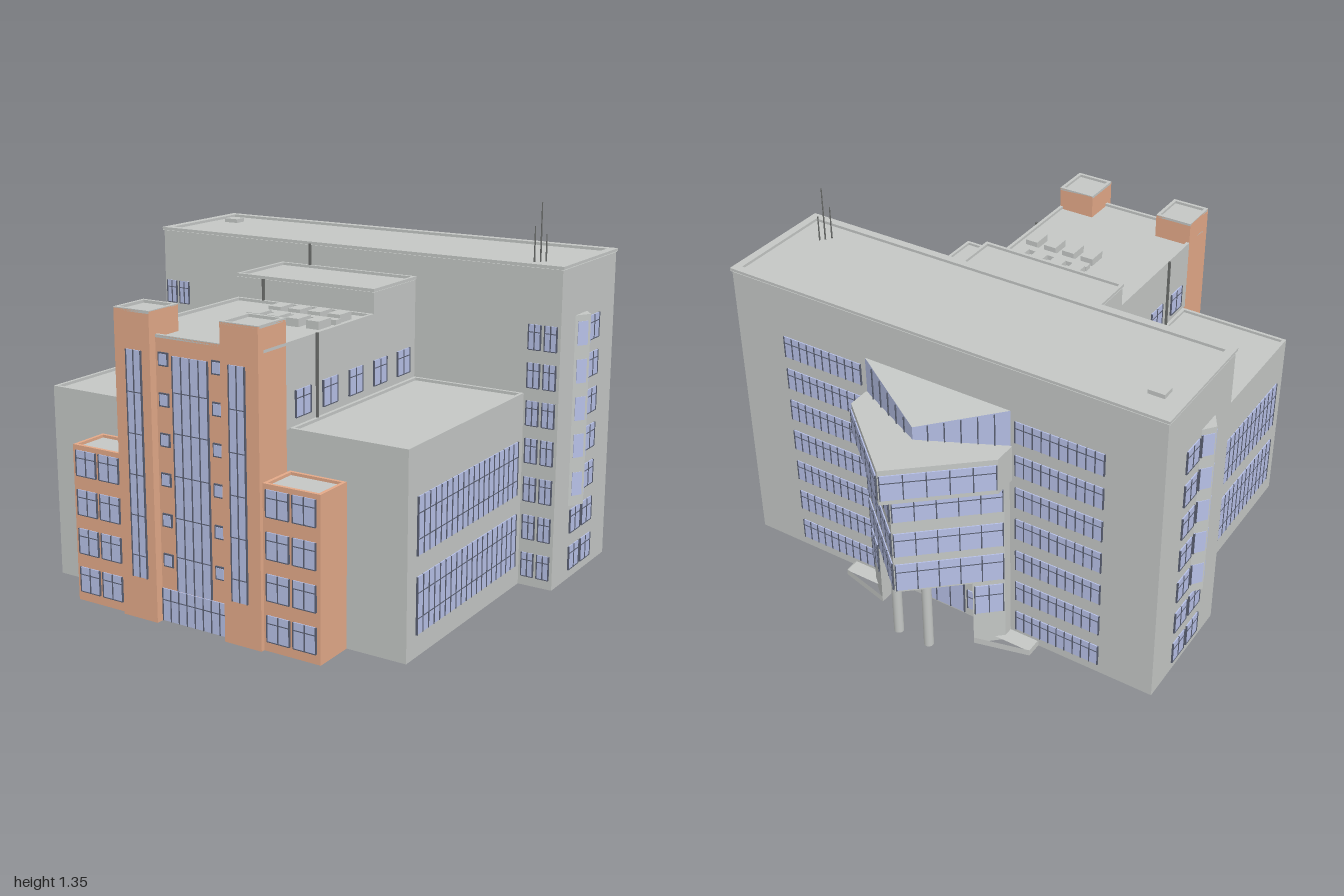
import * as THREE from 'three';
import { mergeGeometries } from 'three/addons/utils/BufferGeometryUtils.js';

const material = (name, color) => {
  const m = new THREE.MeshStandardMaterial({ color, side: THREE.DoubleSide });
  m.name = name;
  return m;
};

export function createModel() {
  const concrete = material('concrete', 0xc4c7c5);
  const brick = material('brick', 0xe3a988);
  const glass = material('glass', 0xbcc6ee);
  const frame = material('frame', 0x5a6072);
  const trim = material('trim', 0x6a6c6a);

  // Parts sharing a name and a colour are merged into one mesh
  const batches = new Map();
  const put = (name, mat, geo) => {
    const g = geo.index ? geo.toNonIndexed() : geo;
    g.deleteAttribute('uv');
    const key = name + mat.name;
    if (!batches.has(key)) batches.set(key, { name, mat, list: [] });
    batches.get(key).list.push(g);
  };
  const box = (name, mat, x0, x1, y0, y1, z0, z1) => put(name, mat,
    new THREE.BoxGeometry(Math.abs(x1 - x0), y1 - y0, Math.abs(z1 - z0))
      .translate((x0 + x1) / 2, (y0 + y1) / 2, (z0 + z1) / 2));

  // Open wall following a plan path; the top may vary per point
  const wall = (name, mat, pts, y0, y1) => {
    const pos = [];
    const top = i => (Array.isArray(y1) ? y1[i] : y1);
    for (let i = 0; i + 1 < pts.length; i++) {
      const [ax, az] = pts[i], [bx, bz] = pts[i + 1];
      pos.push(ax, y0, az, bx, y0, bz, bx, top(i + 1), bz);
      pos.push(ax, y0, az, bx, top(i + 1), bz, ax, top(i), az);
    }
    const g = new THREE.BufferGeometry();
    g.setAttribute('position', new THREE.Float32BufferAttribute(pos, 3));
    g.computeVertexNormals();
    put(name, mat, g);
  };
  const deck = (name, mat, pts, y) => put(name, mat,
    new THREE.ShapeGeometry(new THREE.Shape(pts.map(([x, z]) => new THREE.Vector2(x, -z))))
      .rotateX(-Math.PI / 2).translate(0, y, 0));
  const rect = (x0, x1, z0, z1) => [[x0, z0], [x1, z0], [x1, z1], [x0, z1]];
  // Rectangular roof with a raised rim
  const roof = (name, mat, x0, x1, z0, z1, y, t = 0.012) => {
    deck(name, concrete, rect(x0, x1, z0, z1), y - 0.012);
    for (const [a, b] of [[z0, z0 + t], [z1 - t, z1]]) box(name + 'Rim', mat, x0, x1, y - 0.01, y, a, b);
    for (const [a, b] of [[x0, x0 + t], [x1 - t, x1]]) box(name + 'Rim', mat, a, b, y - 0.01, y, z0 + t, z1 - t);
  };

  // Facade placer: u runs along the wall, plates sit just clear of its outer side
  const facade = (name, x, z, angle) => (mat, u, y, w, h, d = 0.004) => put(name, mat,
    new THREE.BoxGeometry(w, h, d).translate(u, y, d / 2 + 0.001).rotateY(angle).translate(x, 0, z));
  const strip = (plate, u, y, w, h, step, bars = [0.15]) => {
    plate(glass, u, y, w, h);
    const n = Math.round(w / step);
    for (let i = 0; i <= n; i++) plate(frame, u - w / 2 + (w * i) / n, y, 0.004, h, 0.006);
    for (const b of bars) plate(frame, u, y + b * h, w, 0.003, 0.0055);
  };
  const casement = (plate, u, y, w = 0.07, h = 0.088) => {
    strip(plate, u, y, w, h, w / 2, [0.2, -0.5]);
  };

  const floors = [0.08, 0.22, 0.36, 0.5, 0.635, 0.77, 0.905];

  // Tall rear slab
  wall('slabWalls', concrete, [[-0.72, -0.106], [-0.85, -0.106], [-0.85, -0.566],
    [0.85, -0.566], [0.85, -0.106], [0.72, -0.106]], 0, 1.15);
  wall('slabWalls', concrete, [[-0.72, -0.106], [0.72, -0.106]], 0.7, 1.15);
  roof('slabRoof', concrete, -0.855, 0.855, -0.571, -0.101, 1.157, 0.03);
  box('roofHatch', concrete, -0.78, -0.72, 1.144, 1.16, -0.46, -0.41);
  for (const [x, z, top] of [[0.714, -0.22, 1.35], [0.7, -0.2, 1.27], [0.728, -0.235, 1.24]]) {
    put('antenna', trim, new THREE.CylinderGeometry(0.002, 0.003, top - 1.145, 6)
      .translate(x, (top + 1.145) / 2, z));
  }

  // Slab windows on the rear
  const rear = facade('rearWindows', 0, -0.566, Math.PI);
  floors.forEach((y, i) => {
    for (const s of [-1, 1]) {
      strip(rear, s * 0.475, y, 0.33, 0.085, 0.033, [0.2]);
      if (i < 2) strip(rear, s * 0.15, y, 0.09, 0.085, 0.045);
    }
  });
  strip(rear, 0, 0.11, 0.18, 0.2, 0.06);

  for (const s of [-1, 1]) {
    // Windows on the slab end and shoulder
    const end = facade('endWindows', s * 0.85, 0, s * Math.PI / 2);
    const shoulder = facade('shoulderWindows', s * 0.785, -0.106, 0);
    for (const y of floors) {
      casement(end, s * 0.28, y, 0.085);
      casement(end, s * 0.382, y, 0.085);
      casement(shoulder, -0.03, y, 0.045);
      casement(shoulder, 0.03, y, 0.045);
    }
    // Wedge oriel with windows on both faces
    const wedge = [[s * 0.85, -0.225], [s * 0.883, -0.28], [s * 0.85, -0.322]];
    wall('oriel', concrete, wedge, 0.28, 0.97);
    deck('oriel', concrete, wedge, 0.97);
    deck('oriel', concrete, wedge, 0.28);
    for (let i = 0; i < 2; i++) {
      const [ax, az] = wedge[i], [bx, bz] = wedge[i + 1];
      const pane = facade('orielWindows', (ax + bx) / 2, (az + bz) / 2, Math.atan2(s * (az - bz), s * (bx - ax)));
      for (const y of floors.slice(2)) pane(glass, 0, y, 0.042, 0.085, 0.002);
    }

    // Side wing
    wall('wingWalls', concrete, [[s * 0.72, -0.106], [s * 0.72, 0.693], [s * 0.5, 0.693]], 0, 0.7);
    wall('wingWalls', concrete, [[s * 0.5, 0.693], [s * 0.285, 0.693]], 0.55, 0.7);
    roof('wingRoof', concrete, Math.min(s * 0.72, s * 0.285), Math.max(s * 0.72, s * 0.285), -0.106, 0.693, 0.703);
    const side = facade('wingWindows', s * 0.72, 0, s * Math.PI / 2);
    for (const y of [0.175, 0.44]) strip(side, -s * 0.285, y, 0.7, 0.195, 0.037, [0.22, -0.22]);

    // Central block side, with its windows and downpipe
    wall('centreWalls', concrete, [[s * 0.285, 0.18], [s * 0.285, 0.71]], 0.7, 0.98);
    wall('upperWalls', concrete, [[s * 0.285, -0.106], [s * 0.285, 0.18]], 0.7, 1.065);
    const mid = facade('centreWindows', s * 0.285, 0, s * Math.PI / 2);
    for (const z of [0.62, 0.46, 0.3, 0.14, -0.02]) casement(mid, -s * z, 0.775, 0.085, 0.09);
    box('downpipe', trim, s * 0.286, s * 0.294, 0.7, 0.985, 0.535, 0.543);

    // Low brick corner tower
    wall('lowTower', brick, [[s * 0.5, 0.693], [s * 0.5, 0.845], [s * 0.285, 0.845]], 0, 0.56);
    roof('lowTowerRoof', brick, Math.min(s * 0.5, s * 0.285), Math.max(s * 0.5, s * 0.285), 0.693, 0.845, 0.562);
    const low = facade('lowTowerWindows', s * 0.392, 0.845, 0);
    for (const y of floors.slice(0, 4)) {
      casement(low, -0.05, y, 0.085, 0.09);
      casement(low, 0.05, y, 0.085, 0.09);
    }

    // Tall brick tower
    wall('tallTower', brick, [[s * 0.285, 0.845], [s * 0.285, 0.86], [s * 0.14, 0.86], [s * 0.14, 0.83]], 0, 0.98);
    wall('tallTower', brick, [[s * 0.285, 0.845], [s * 0.285, 0.71], [s * 0.14, 0.71]], 0.55, 1.06);
    wall('tallTower', brick, [[s * 0.285, 0.845], [s * 0.285, 0.86], [s * 0.14, 0.86], [s * 0.14, 0.71]], 0.97, 1.06);
    roof('tallTowerRoof', concrete, Math.min(s * 0.285, s * 0.14), Math.max(s * 0.285, s * 0.14), 0.71, 0.86, 1.063);
    const tall = facade('tallTowerGlazing', s * 0.205, 0.86, 0);
    strip(tall, 0, 0.54, 0.06, 0.78, 0.03, [-0.4, -0.22, -0.04, 0.14, 0.32]);
  }

  // Brick centre front with tall glazing and small stair windows
  wall('centreFront', brick, [[-0.14, 0.83], [0.14, 0.83]], 0, 0.98);
  const front = facade('frontGlazing', 0, 0.83, 0);
  strip(front, 0, 0.52, 0.14, 0.8, 0.035, [-0.35, -0.18, 0, 0.18, 0.35]);
  strip(front, 0, 0.06, 0.27, 0.115, 0.034);
  for (const y of floors.slice(1)) for (const s of [-1, 1]) {
    front(frame, s * 0.107, y, 0.04, 0.046, 0.005);
    front(glass, s * 0.107, y, 0.03, 0.036, 0.007);
  }

  // Central roofs and plant units
  roof('centreRoof', concrete, -0.285, 0.285, 0.18, 0.83, 0.983);
  wall('upperWalls', concrete, [[-0.285, 0.18], [0.285, 0.18]], 0.975, 1.065);
  roof('upperRoof', concrete, -0.288, 0.288, -0.106, 0.184, 1.07);
  for (let i = 0; i < 4; i++) for (let j = 0; j < 2; j++) {
    const x = -0.05 + i * 0.08, z = 0.25 + j * 0.13;
    box('plantUnit', concrete, x, x + 0.05, 0.972, 1.0, z, z + 0.075);
  }
  box('plantDuct', concrete, -0.05, 0.25, 0.972, 0.99, 0.335, 0.365);
  box('downpipe', trim, -0.165, -0.157, 1.06, 1.15, -0.105, -0.097);
  box('downpipe', trim, -0.175, -0.167, 0.975, 1.06, 0.181, 0.189);

  // Pointed glazed bay on the rear
  const bayPlan = (s, side, apex) => [[-s, -0.566], [-s, side], [0, apex], [s, side], [s, -0.566]];
  const bay = (name, s, side, apex, y0, y1, rows) => {
    const plan = bayPlan(s, side, apex);
    wall(name, concrete, plan, y0, y1);
    const run = Math.hypot(s, side - apex);
    for (const k of [-1, 1]) {
      const plate = facade(name + 'Windows', k * s / 2, (side + apex) / 2, Math.atan2(k * (side - apex), -s));
      for (const [a, b] of rows) strip(plate, 0, (a + b) / 2, run - 0.01, b - a, 0.075, [0.2]);
    }
    return plan;
  };
  const lower = bay('bay', 0.285, -0.6, -0.85, 0.28, 0.7, [[0.29, 0.405], [0.44, 0.54], [0.59, 0.68]]);
  deck('bayUnderside', concrete, lower, 0.28);
  const upper = bay('bayTopFloor', 0.295, -0.65, -0.905, 0.7, 0.84, [[0.72, 0.82]]);
  deck('bayTopUnderside', brick, upper, 0.7);
  deck('bayTopDeck', concrete, upper, 0.84);

  // Sloping glazed lantern above the bay
  const lantern = [[-0.29, -0.566], [0, -0.707], [0.29, -0.566]];
  wall('lantern', glass, lantern, 0.84, [0.98, 0.89, 0.98]);
  const slope = new THREE.BufferGeometry();
  slope.setAttribute('position', new THREE.Float32BufferAttribute(
    [-0.29, 0.98, -0.566, 0.29, 0.98, -0.566, 0, 0.89, -0.707], 3));
  slope.computeVertexNormals();
  put('lanternRoof', concrete, slope);
  for (const s of [-1, 1]) {
    const plate = facade('lanternBars', s * 0.145, -0.6365, Math.atan2(s * 0.141, -0.29));
    for (let i = -2; i <= 2; i++) {
      const u = i * 0.055, h = 0.092 - s * u * 0.28;
      plate(frame, u, 0.84 + h / 2, 0.004, h);
    }
  }

  // Rear entrance: angled glazed piers, columns and low ramps
  for (const s of [-1, 1]) {
    wall('entrancePier', concrete, [[s * 0.285, -0.566], [s * 0.285, -0.6], [s * 0.2, -0.675], [s * 0.2, -0.566]], 0, 0.28);
    const plate = facade('entranceWindows', s * 0.2425, -0.6375, Math.atan2(s * 0.075, -0.085));
    strip(plate, 0, 0.205, 0.1, 0.125, 0.05);
    wall('entranceCurb', concrete, [[s * 0.4, -0.566], [s * 0.4, -0.625], [s * 0.3, -0.65], [s * 0.2, -0.675]], 0, 0.025);
    deck('entranceRamp', concrete, rect(s * 0.2, s * 0.4, -0.625, -0.566), 0.02);
    put('entranceColumn', concrete, new THREE.CylinderGeometry(0.018, 0.018, 0.28, 16).translate(s * 0.065, 0.14, -0.76));
  }

  // Assemble, then turn the plan diagonally
  const model = new THREE.Group();
  model.name = 'building';
  for (const { name, mat, list } of batches.values()) {
    const mesh = new THREE.Mesh(mergeGeometries(list), mat);
    mesh.name = name;
    model.add(mesh);
  }
  model.rotation.y = -Math.PI / 4;
  const root = new THREE.Group();
  root.add(model);
  return root;
}
